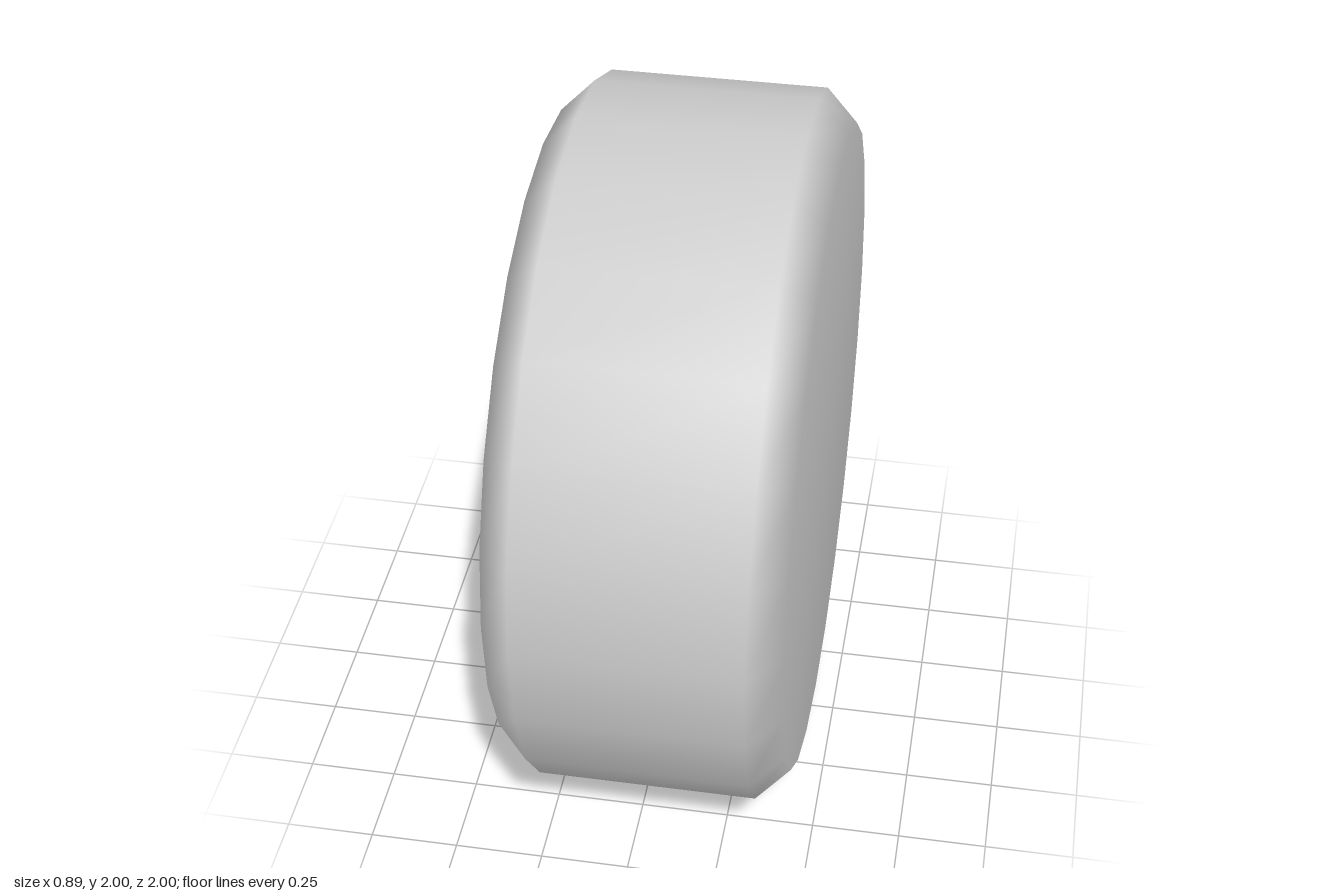
import * as THREE from 'three';
import { toCreasedNormals } from 'three/addons/utils/BufferGeometryUtils.js';

const FACE = -0.345; // hub-side face of the tyre
const RIM = 0.67;    // outer radius of the hub dome
const material = new THREE.MeshStandardMaterial({ color: 0xcccccc });

// Height of the outer slope of the dome at radius r
function slopeX(r) {
  return THREE.MathUtils.mapLinear(r, 0.5, RIM, -0.41, FACE);
}

// Domed hub cap: radial sections whose outer end steps inward at six windows
function hubGeometry() {
  // [angle in degrees, radius where the dome drops to the tyre face]
  const pattern = [
    [-30, RIM], [-30, 0.58], [-28, 0.535], [-25, 0.52], [-15, 0.52], [-5, 0.52],
    [-2, 0.535], [0, 0.58], [0, RIM], [10, RIM], [20, RIM],
  ];
  const positions = [], index = [];
  const rows = 6;
  const columns = pattern.length * 6;
  for (let k = 0; k < 6; k++) {
    for (const [degrees, edge] of pattern) {
      const angle = THREE.MathUtils.degToRad(degrees + k * 60);
      const section = [
        [0, -0.42], [0.27, -0.42], [0.27, -0.45], // sunken centre
        [0.5, -0.41], [edge, slopeX(edge)], [edge, FACE + 0.001],
      ];
      for (const [r, x] of section) {
        positions.push(x, r * Math.cos(angle), r * Math.sin(angle));
      }
    }
  }
  for (let i = 0; i < columns; i++) {
    for (let j = 0; j < rows - 1; j++) {
      const a = i * rows + j;
      const d = ((i + 1) % columns) * rows + j;
      index.push(a, d + 1, a + 1, a, d, d + 1);
    }
  }
  const geometry = new THREE.BufferGeometry();
  geometry.setAttribute('position', new THREE.Float32BufferAttribute(positions, 3));
  geometry.setIndex(index);
  return toCreasedNormals(geometry, 0.6);
}

export function createModel() {
  const wheel = new THREE.Group();
  wheel.name = 'wheel';

  // Chamfered 24-sided tyre with smooth shading, axle along x
  const profile = [
    [0, FACE], [0.91, FACE], [1, -0.255], [1, 0.355], [0.91, 0.445], [0, 0.445],
  ].map(([r, x]) => new THREE.Vector2(r, x));
  const tyre = new THREE.Mesh(new THREE.LatheGeometry(profile, 24), material);
  tyre.name = 'tyre';
  tyre.rotation.z = -Math.PI / 2;

  const hub = new THREE.Mesh(hubGeometry(), material);
  hub.name = 'hubCap';

  wheel.add(tyre, hub);
  wheel.position.y = 1;

  const model = new THREE.Group();
  model.name = 'wheelModel';
  model.add(wheel);
  return model;
}
